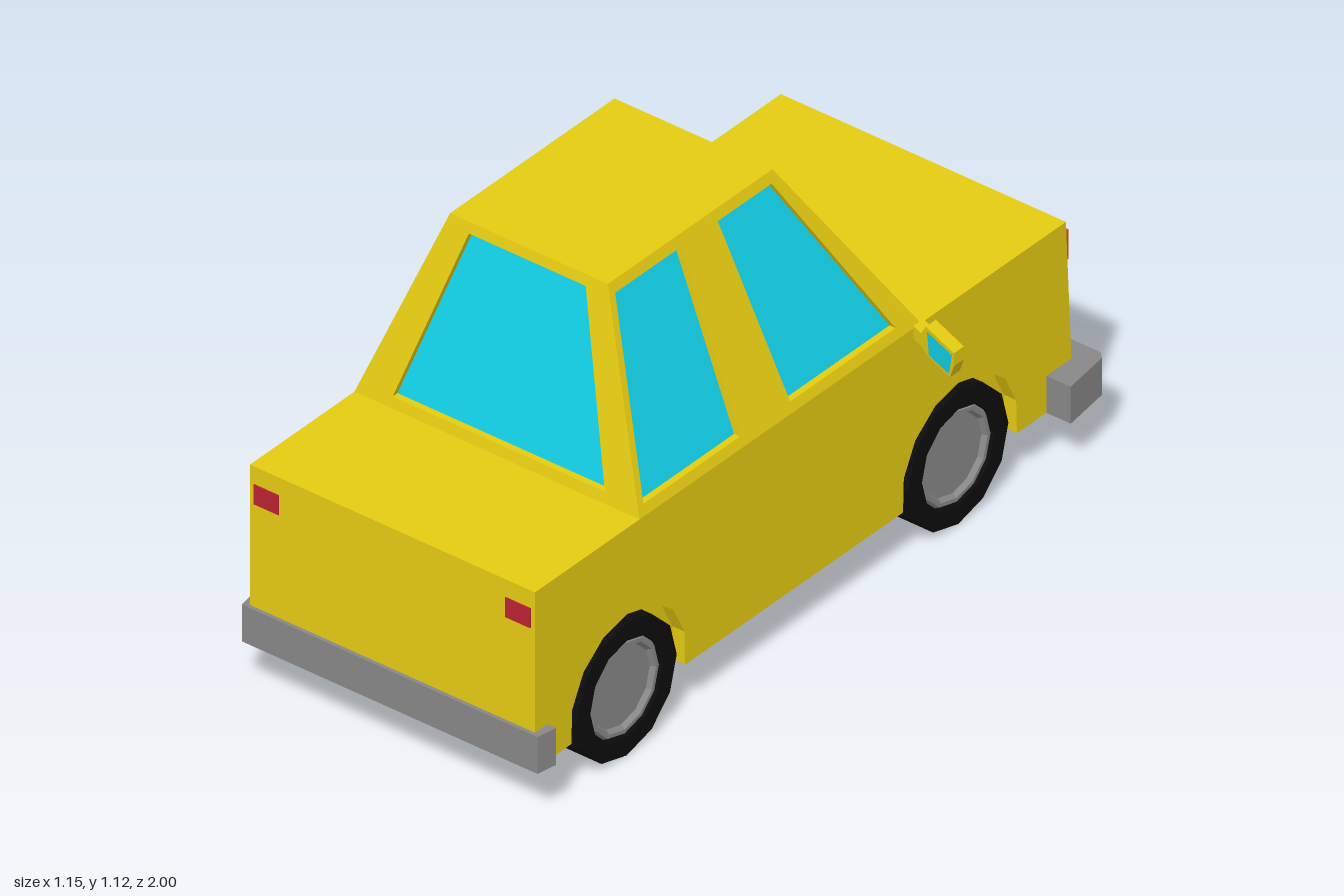
import * as THREE from 'three';

const mat = (color) => new THREE.MeshStandardMaterial({ color, flatShading: true });
const paint = mat(0xe6cc12), glass = mat(0x12d2ea), grey = mat(0x888888), black = mat(0x0c0c0c);
const red = mat(0xbb2233), orange = mat(0xd8560f), lamp = mat(0xaaaaaa);

const shapeOf = (pts) => new THREE.Shape(pts.map(([x, y]) => new THREE.Vector2(x, y)));
const extrude = (shape, depth) => new THREE.ExtrudeGeometry(shape, { depth, bevelEnabled: false });

// Shift each vertex along z by a rule of its x and y
function shear(geo, rule) {
  const p = geo.attributes.position;
  for (let i = 0; i < p.count; i++) p.setZ(i, p.getZ(i) + rule(p.getX(i), p.getY(i)));
  geo.computeVertexNormals();
  return geo;
}

export function createModel() {
  const car = new THREE.Group();
  car.name = 'car';
  const add = (name, geo, material, parent = car) => {
    const m = new THREE.Mesh(geo, material);
    m.name = name;
    parent.add(m);
    return m;
  };
  const box = (name, material, w, h, d, x, y, z) =>
    add(name, new THREE.BoxGeometry(w, h, d).translate(x, y, z), material);

  // Lower body: a full core with side skins that have the wheel arches cut out (u = -z)
  const axles = [0.65, -0.54];
  const core = [[-0.985, 0.14], [0.945, 0.14], [0.92, 0.62], [-0.985, 0.62]];
  add('bodyCore', extrude(shapeOf(core), 0.75).translate(0, 0, -0.375).rotateY(Math.PI / 2), paint);
  const skin = [core[0]];
  for (const z of axles) {
    for (let i = 0; i <= 8; i++) {
      const a = Math.PI + 0.19 - (i / 8) * (Math.PI + 0.38);
      skin.push([-z + 0.208 * Math.cos(a), 0.18 + 0.208 * Math.sin(a)]);
    }
  }
  skin.push(...core.slice(1));
  for (const x of [0.375, -0.41]) {
    add('bodySide', extrude(shapeOf(skin), 0.035).translate(0, 0, x).rotateY(Math.PI / 2), paint);
  }

  // Cabin walls: upright frames with window holes, leaned inward, with recessed panes
  const T = 0.02;
  function wall(name, outline, windows, bottom, top, angle, flip = 1) {
    const turn = (pts) => pts.map(([u, y]) => [u * flip, y]);
    const lean = (x, y) => bottom + (top - bottom) * (y - 0.62) / 0.5;
    const frame = shapeOf(turn(outline));
    for (const w of windows) frame.holes.push(shapeOf(turn(w)));
    add(name, shear(extrude(frame, T).translate(0, 0, -T), lean).rotateY(angle), paint);
    for (const w of windows) {
      const pane = new THREE.ShapeGeometry(shapeOf(turn(w))).translate(0, 0, -T + 0.003);
      add(name + 'Window', shear(pane, lean).rotateY(angle), glass);
    }
  }
  const endWall = [[-0.41, 0.62], [0.41, 0.62], [0.227, 1.12], [-0.227, 1.12]];
  wall('tailWall', endWall,
    [[[-0.305, 0.648], [0.305, 0.648], [0.168, 1.093], [-0.168, 1.093]]], 0.61, 0.495, 0);
  wall('windshieldFrame', endWall,
    [[[-0.37, 0.648], [0.37, 0.648], [0.207, 1.093], [-0.207, 1.093]]], 0.4, 0.095, Math.PI);
  const sideWall = [[-0.61, 0.62], [0.4, 0.62], [0.095, 1.12], [-0.495, 1.12]];
  const sideWindows = [
    [[-0.587, 0.645], [-0.238, 0.645], [-0.247, 1.093], [-0.483, 1.093]],
    [[-0.058, 0.645], [0.32, 0.645], [0.08, 1.093], [-0.113, 1.093]],
  ];
  for (const s of [1, -1]) {
    wall('cabinSide', sideWall, sideWindows, 0.41, 0.227, s * Math.PI / 2, s);
  }
  box('roof', paint, 0.452, 0.02, 0.588, 0, 1.11, 0.2);

  // Wrap-around bumpers, drawn from above (shape y = -z)
  const bumper = (name, pts) =>
    add(name, extrude(shapeOf(pts), 0.1).rotateX(-Math.PI / 2).translate(0, 0.14, 0), grey);
  bumper('frontBumper', [[-0.48, 0.85], [0.48, 0.85], [0.462, 0.985], [0.445, 1], [-0.445, 1], [-0.462, 0.985]]);
  bumper('rearBumper', [[-0.435, -0.94], [0.435, -0.94], [0.425, -0.995], [-0.425, -0.995]]);
  box('bumperEnd', paint, 0.044, 0.098, 0.004, -0.457, 0.19, -0.849);

  for (const s of [1, -1]) {
    // Lights
    box('tailLight', red, 0.072, 0.053, 0.006, s * 0.362, 0.546, 0.985);
    box('headlight', lamp, 0.11, 0.08, 0.024, s * 0.308, 0.545, -0.929);
    box('indicator', orange, 0.038, 0.08, 0.024, s * 0.382, 0.545, -0.929);

    // Door mirrors, swept backward
    const sweep = (x) => -0.41 + (Math.abs(x) - 0.41) * 0.38;
    const side = (pts) => shapeOf(pts.map(([x, y]) => [s * x, y]));
    const housing = side([[0.4, 0.59], [0.44, 0.59], [0.47, 0.58], [0.56, 0.58], [0.576, 0.62],
      [0.576, 0.655], [0.46, 0.655], [0.44, 0.625], [0.4, 0.625]]);
    add('mirrorHousing', shear(extrude(housing, 0.036), sweep), paint);
    const face = side([[0.475, 0.588], [0.558, 0.588], [0.57, 0.647], [0.467, 0.647]]);
    add('mirrorGlass', shear(new THREE.ShapeGeometry(face).translate(0, 0, 0.038), sweep), glass);

    // Wheels: twelve-sided tyre with a stepped hub
    for (const z of axles) {
      const wheel = new THREE.Group();
      wheel.name = 'wheel';
      wheel.position.set(0, 0.18, z);
      car.add(wheel);
      const turned = (pts) => new THREE.LatheGeometry(pts.map(([r, x]) => new THREE.Vector2(r, x)), 12)
        .rotateZ(-s * Math.PI / 2);
      add('tyre', turned([[0, 0.27], [0.18, 0.27], [0.18, 0.405], [0.13, 0.405], [0.128, 0.38]]), black, wheel);
      add('hub', turned([[0.13, 0.385], [0.122, 0.4], [0.112, 0.4], [0.104, 0.388], [0, 0.388]]), grey, wheel);
      if (s < 0 && z < 0) {
        add('innerDisc', new THREE.CircleGeometry(0.178, 12).rotateY(Math.PI / 2).translate(-0.268, 0, 0), grey, wheel);
      }
    }
  }
  return car;
}
